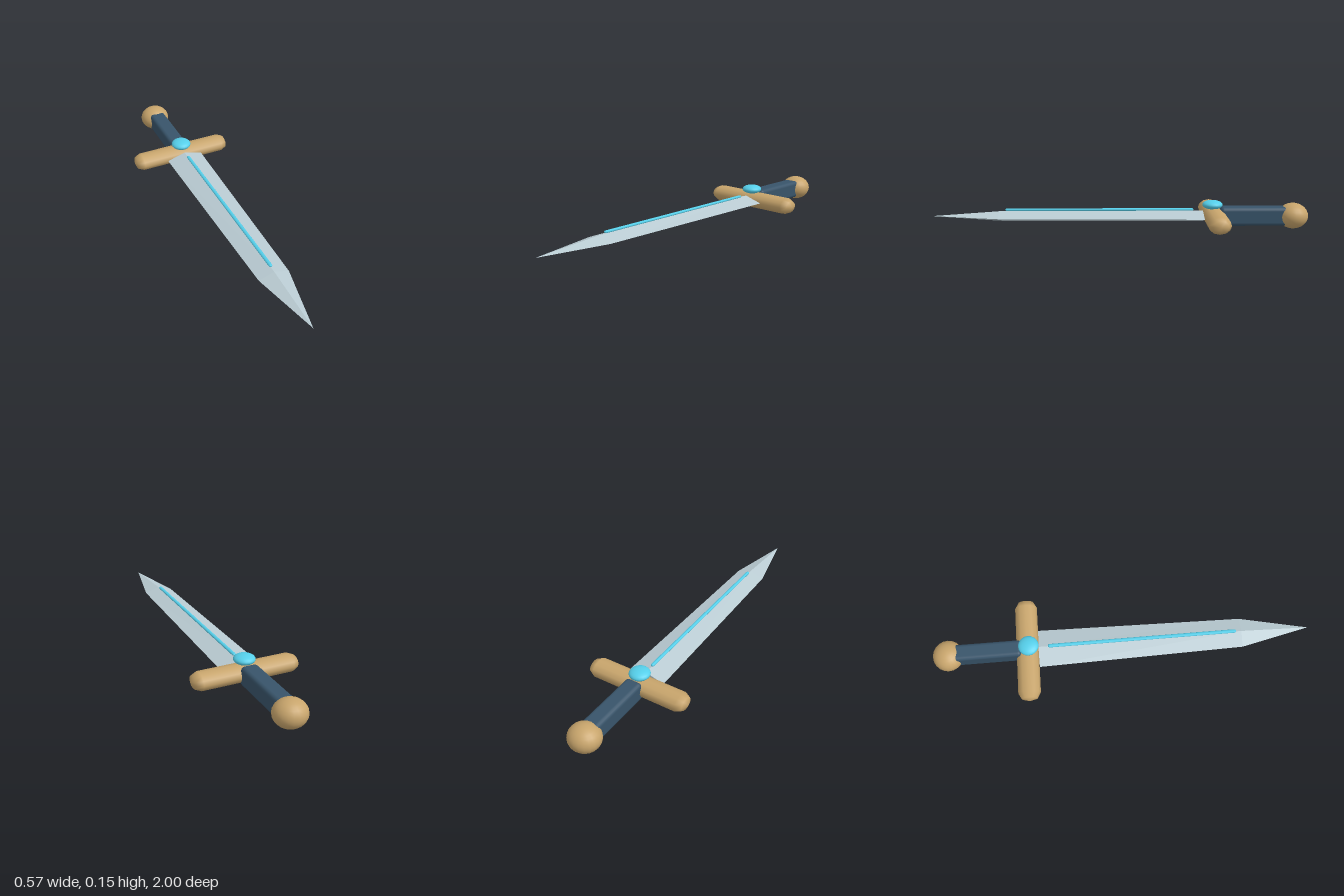
import * as THREE from 'three';
import { RoundedBoxGeometry } from 'three/addons/geometries/RoundedBoxGeometry.js';

const AXIS_Y = 0.07; // height of the sword's long axis

const mat = (color, flatShading = false) => new THREE.MeshStandardMaterial({ color, flatShading });

// Diamond-section blade lofted along z, closed at the base and running to a point
function bladeGeometry() {
  const sections = [[-0.44, 0.102, 0.029], [0.64, 0.08, 0.026], [1, 0, 0]]; // z, half width, half height
  const rings = sections.map(([z, w, h]) => [[w, 0, z], [0, h, z], [-w, 0, z], [0, -h, z]]);
  const pos = [];
  const tri = (...corners) => corners.forEach((c) => pos.push(...c));
  for (let s = 0; s < rings.length - 1; s++) {
    const a = rings[s], b = rings[s + 1];
    for (let i = 0; i < 4; i++) {
      const j = (i + 1) % 4;
      tri(a[i], a[j], b[i]);
      if (s === 0) tri(a[j], b[j], b[i]);
    }
  }
  const base = rings[0];
  tri(base[0], base[2], base[1]);
  tri(base[0], base[3], base[2]);
  const geo = new THREE.BufferGeometry();
  geo.setAttribute('position', new THREE.Float32BufferAttribute(pos, 3));
  geo.computeVertexNormals();
  return geo;
}

export function createModel() {
  const sword = new THREE.Group();
  sword.name = 'sword';
  const gold = mat(0xc8a56c);
  const cyan = mat(0x55cfea);

  const add = (name, geo, material, y, z) => {
    const mesh = new THREE.Mesh(geo, material);
    mesh.name = name;
    mesh.position.set(0, y, z);
    sword.add(mesh);
    return mesh;
  };

  add('blade', bladeGeometry(), mat(0xb9cbd2, true), AXIS_Y, 0);

  // Glowing inlay lying along the upper ridge
  const inlay = new THREE.CapsuleGeometry(0.01, 0.98, 3, 8);
  inlay.rotateX(Math.PI / 2).scale(1, 0.7, 1);
  add('bladeInlay', inlay, cyan, 0.104, 0.11);

  // Crossguard: a rounded bar, deeper in z than in y
  const guard = new THREE.CapsuleGeometry(0.045, 0.476, 2, 12);
  guard.rotateZ(Math.PI / 2).scale(1, 1, 1.31);
  add('crossguard', guard, gold, 0.068, -0.5);

  // Grip and pommel
  add('grip', new RoundedBoxGeometry(0.09, 0.1, 0.36, 2, 0.02), mat(0x38546a), AXIS_Y, -0.71);
  const pommel = new THREE.SphereGeometry(1, 20, 14);
  pommel.scale(0.083, 0.068, 0.08);
  add('pommel', pommel, gold, AXIS_Y, -0.92);

  // Flattened gem set on top of the guard
  const gem = new THREE.SphereGeometry(1, 20, 12);
  gem.scale(0.054, 0.024, 0.054);
  add('gem', gem, cyan, 0.13, -0.49);

  return sword;
}
